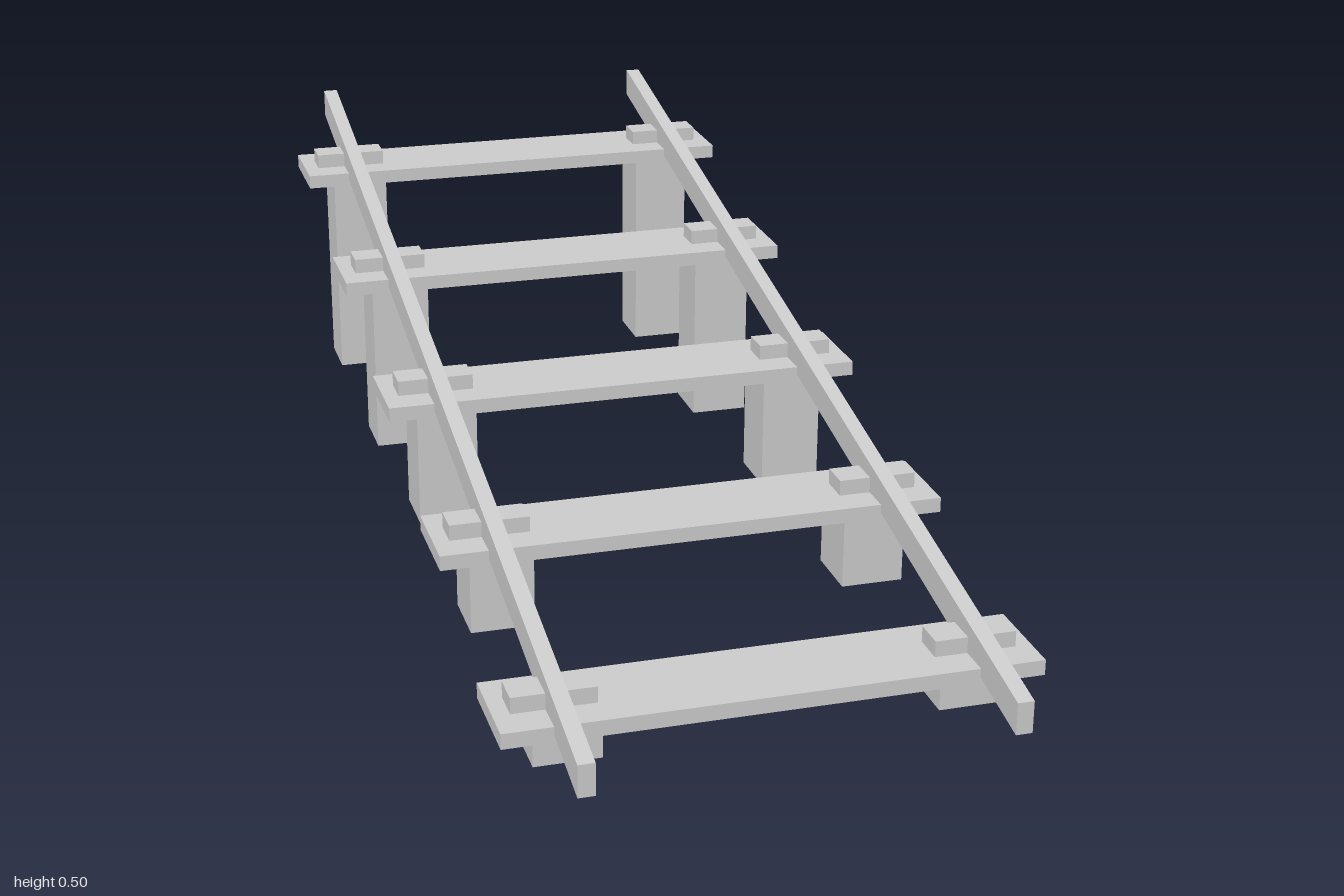
import * as THREE from 'three';

const material = new THREE.MeshStandardMaterial({ color: 0xcccccc, flatShading: true });

const SLOPE = 0.2; // rise per unit towards the back

// Box given by its size and centre
function box(name, w, h, d, x, y, z) {
  const mesh = new THREE.Mesh(new THREE.BoxGeometry(w, h, d), material);
  mesh.name = name;
  mesh.position.set(x, y, z);
  return mesh;
}

// Sloping rail: a box sheared upwards towards the back, so its ends stay vertical
function rail(name, x) {
  const mesh = box(name, 0.025, 0.05, 2, x, 0.2725, 0);
  const p = mesh.geometry.attributes.position;
  for (let i = 0; i < p.count; i++) p.setY(i, p.getY(i) - SLOPE * p.getZ(i));
  mesh.geometry.computeVertexNormals();
  return mesh;
}

export function createModel() {
  const track = new THREE.Group();
  track.name = 'slopingTrack';

  // Undersides of the posts, from front to back
  const postBottoms = [0.013, 0.019, 0.024, 0, 0.008];

  postBottoms.forEach((bottom, i) => {
    const z = 0.8 - 0.4 * i;
    const tieBottom = 0.062 + 0.4 * SLOPE * i;
    const support = new THREE.Group();
    support.name = `support${i + 1}`;

    // Cross plank
    support.add(box('crossTie', 0.8, 0.024, 0.15, 0, tieBottom + 0.012, z));

    // Post below and rail clamp above on each side
    for (const [side, s] of [['left', 1], ['right', -1]]) {
      const h = tieBottom - bottom;
      support.add(box(`${side}Post`, 0.1, h, 0.1, s * 0.3, bottom + h / 2, z));
      support.add(box(`${side}RailClamp`, 0.125, 0.025, 0.05, s * 0.3125, tieBottom + 0.0365, z));
    }
    track.add(support);
  });

  // Pair of rails
  track.add(rail('leftRail', 0.3125), rail('rightRail', -0.3125));
  return track;
}
